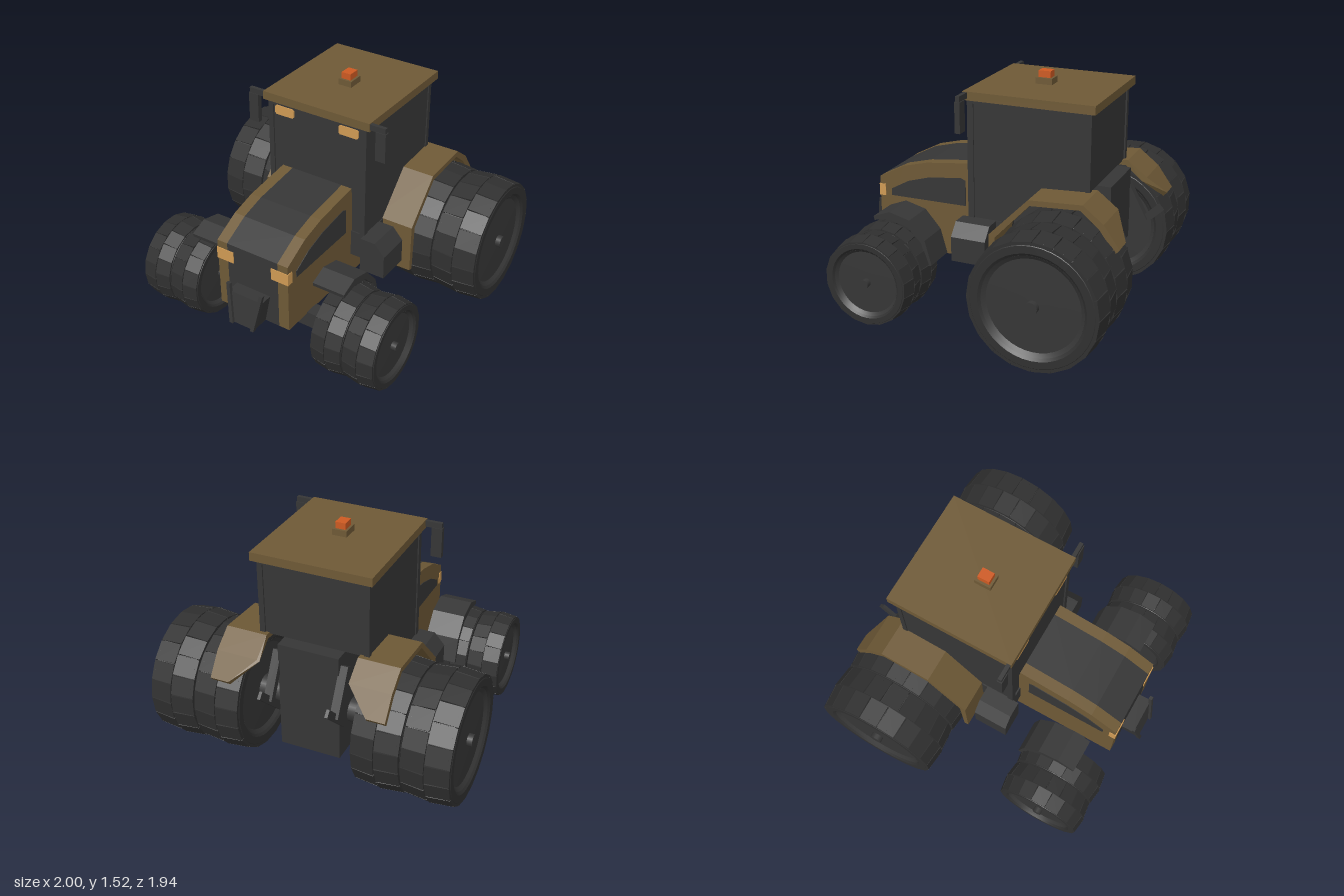
import * as THREE from 'three';
import { mergeGeometries, toCreasedNormals } from 'three/addons/utils/BufferGeometryUtils.js';

const mat = (name, color) => Object.assign(new THREE.MeshStandardMaterial({ color }), { name });
const brown = mat('brown paint', 0x6e5936);
const dark = mat('dark grey', 0x363636);
const rubber = mat('tyre rubber', 0x303030);
const lamp = mat('lamp amber', 0xcf9a54);
const orange = mat('beacon orange', 0xcd5a22);

function add(parent, name, geo, material) {
  const m = new THREE.Mesh(geo, material);
  m.name = name;
  parent.add(m);
  return m;
}

// Box from its low and high limits on each axis
function box(x0, x1, y0, y1, z0, z1) {
  return new THREE.BoxGeometry(Math.abs(x1 - x0), y1 - y0, Math.abs(z1 - z0))
    .translate((x0 + x1) / 2, (y0 + y1) / 2, (z0 + z1) / 2);
}

const shapeOf = (pts) => new THREE.Shape(pts.map(([a, b]) => new THREE.Vector2(a, b)));

// Side profile of [z, y] points, extruded from x0 to x1
function slab(pts, x0, x1) {
  return new THREE.ExtrudeGeometry(shapeOf(pts), { depth: Math.abs(x1 - x0), bevelEnabled: false })
    .rotateY(-Math.PI / 2).translate(Math.max(x0, x1), 0, 0);
}

// Thin bar between two [z, y] points
function bar(a, b, x, w, t) {
  const dz = b[0] - a[0], dy = b[1] - a[1];
  return new THREE.BoxGeometry(w, t, Math.hypot(dz, dy)).rotateX(-Math.atan2(dy, dz))
    .translate(x, (a[1] + b[1]) / 2, (a[0] + b[0]) / 2);
}

// Tyre with two staggered rows of tread blocks, and a dished rim; axis along x
function wheel(R, w, n) {
  const g = new THREE.Group();
  const r = R - 0.014, h = w / 2;
  const lathe = (pts, seg) => toCreasedNormals(
    new THREE.LatheGeometry(pts.map(([a, b]) => new THREE.Vector2(a, b)), seg).rotateZ(-Math.PI / 2), 0.45);
  add(g, 'tyre', lathe([[R * 0.74, -h + 0.02], [R * 0.8, -h], [R * 0.91, -h], [r, -h + 0.02],
    [r, h - 0.02], [R * 0.91, h], [R * 0.8, h], [R * 0.74, h - 0.02]], 40), rubber);
  add(g, 'rim', lathe([[0, -h + 0.025], [R * 0.7, -h + 0.03], [R * 0.76, -h + 0.012],
    [R * 0.76, h - 0.012], [R * 0.7, h - 0.03], [0, h - 0.025]], 40), dark);
  const blocks = [];
  for (const s of [-1, 1]) {
    for (let i = 0; i < n; i++) {
      const a = ((i + (s > 0 ? 0.5 : 0)) / n) * Math.PI * 2;
      const b = new THREE.BoxGeometry(h - 0.006, 0.04, (Math.PI * 2 * R / n) * 0.93);
      const p = b.attributes.position;
      for (let k = 0; k < p.count; k++) {
        // drop the outer shoulder of each block
        if (p.getX(k) * s > 0 && p.getY(k) > 0) p.setY(k, 0.006);
      }
      blocks.push(b.toNonIndexed().translate(s * h / 2, R - 0.022, 0).rotateX(a));
    }
  }
  const tread = mergeGeometries(blocks);
  tread.computeVertexNormals();
  add(g, 'tread', tread, rubber);
  return g;
}

export function createModel() {
  const root = new THREE.Group();
  root.name = 'tractor';
  const body = new THREE.Group();
  body.name = 'body';
  body.position.x = -0.01;
  root.add(body);

  // Hood and chassis: dark centre strip between two brown sides
  const hood = [[0.83, 0.29], [0.83, 0.76], [0.65, 0.855], [0.48, 0.9], [0.14, 0.94],
    [0.1, 0.6], [-0.1, 0.6], [-0.1, 0.29]];
  add(body, 'hoodCentre', slab(hood, -0.186, 0.186), dark);
  const panel = [[0.745, 0.64], [0.745, 0.685], [0.62, 0.755], [0.47, 0.8], [0.24, 0.83],
    [0.205, 0.815], [0.205, 0.645]];
  add(body, 'transmission', box(-0.19, 0.19, 0.3, 0.88, -0.42, -0.1), dark);
  add(body, 'rearHousing', box(-0.2, 0.2, 0.165, 0.89, -0.74, -0.4), dark);

  // Cab
  add(body, 'cab', slab([[0.13, 0.44], [0.13, 1.39], [-0.65, 1.39], [-0.65, 0.89], [-0.35, 0.87],
    [-0.1, 0.62], [-0.1, 0.44]], -0.352, 0.352), dark);
  add(body, 'cabSill', box(-0.36, 0.36, 0.44, 0.62, -0.09, 0.14), dark);
  add(body, 'rearHeader', box(-0.36, 0.36, 1.36, 1.39, -0.66, 0.14), dark);
  add(body, 'roof', box(-0.388, 0.388, 1.385, 1.44, -0.69, 0.155), brown);
  add(body, 'beaconBase', box(-0.048, 0.048, 1.44, 1.48, -0.29, -0.18), brown);
  add(body, 'beacon', box(-0.033, 0.033, 1.48, 1.522, -0.275, -0.195), orange);

  // Axles and front weight bracket
  add(body, 'frontAxle', box(-0.42, 0.42, 0.19, 0.3, 0.54, 0.64), dark);
  add(body, 'rearAxle', new THREE.CylinderGeometry(0.08, 0.08, 1.2, 16).rotateZ(Math.PI / 2)
    .translate(0, 0.415, -0.55), dark);
  const bracket = slab([[0.83, 0.29], [0.95, 0.29], [0.915, 0.49], [0.83, 0.49]], -0.125, 0.125);
  const bp = bracket.attributes.position;
  for (let i = 0; i < bp.count; i++) if (bp.getY(i) < 0.4) bp.setX(i, bp.getX(i) * 0.66);
  bracket.computeVertexNormals();
  add(body, 'frontBracket', bracket, dark);

  const rearFender = [[-0.09, 0.29], [-0.095, 0.62], [-0.35, 0.88], [-0.69, 0.9], [-0.82, 0.8],
    [-0.92, 0.66], [-0.895, 0.63], [-0.79, 0.77], [-0.675, 0.865], [-0.36, 0.845], [-0.135, 0.605], [-0.12, 0.285]];
  const frontFender = [[0.7, 0.585], [0.705, 0.61], [0.59, 0.655], [0.45, 0.62], [0.345, 0.5],
    [0.3, 0.34], [0.325, 0.33], [0.37, 0.48], [0.465, 0.575], [0.59, 0.605]];

  for (const s of [-1, 1]) {
    // Hood sides with dark inset and wrapped headlamp
    add(body, 'hoodSide', slab(hood, s * 0.186, s * 0.26), brown);
    add(body, 'hoodVent', slab(panel, s * 0.259, s * 0.264), dark);
    add(body, 'headlamp', box(s * 0.14, s * 0.264, 0.63, 0.71, 0.79, 0.835), lamp);

    // Cab pillars, work lamp and mirror
    add(body, 'frontPillar', box(s * 0.325, s * 0.36, 0.44, 1.39, 0.1, 0.14), dark);
    add(body, 'rearPillar', box(s * 0.325, s * 0.36, 0.89, 1.39, -0.66, -0.63), dark);
    const lampShape = new THREE.Shape();
    const corners = [[0.175, 1.302], [0.295, 1.302], [0.305, 1.312], [0.305, 1.355], [0.295, 1.365],
      [0.175, 1.365], [0.165, 1.355], [0.165, 1.312]];
    lampShape.setFromPoints(corners.map(([x, y]) => new THREE.Vector2(s * x, y)));
    add(body, 'workLamp', new THREE.ExtrudeGeometry(lampShape, { depth: 0.009, bevelEnabled: false })
      .translate(0, 0, 0.137), lamp);
    add(body, 'mirrorArm', box(s * 0.36, s * 0.495, 1.397, 1.435, 0.125, 0.15), dark);
    add(body, 'mirror', box(s * 0.43, s * 0.5, 1.205, 1.4, 0.12, 0.155), dark);

    // Rear fender, its tail corner cut back on the inside
    const rf = slab(rearFender, s * 0.3, s * 0.57);
    const p = rf.attributes.position;
    for (let i = 0; i < p.count; i++) {
      if (p.getZ(i) < -0.88 && Math.abs(p.getX(i)) < 0.4) p.setX(i, s * 0.45);
    }
    rf.computeVertexNormals();
    add(body, 'rearFender', rf, brown);
    add(body, 'frontFender', slab(frontFender, s * 0.35, s * 0.57), dark);

    // Side tank with sloped shoulder
    const tank = [[0.355, 0.38], [0.53, 0.38], [0.53, 0.54], [0.46, 0.62], [0.355, 0.62]];
    add(body, 'sideTank', new THREE.ExtrudeGeometry(shapeOf(tank.map(([x, y]) => [s * x, y])),
      { depth: 0.23, bevelEnabled: false }).translate(0, 0, -0.05), dark);

    // Front bracket uprights, leaning inward toward the foot
    const arm = slab([[0.94, 0.29], [0.968, 0.29], [0.922, 0.545], [0.9, 0.545]], s * 0.065, s * 0.09);
    const ap = arm.attributes.position;
    for (let i = 0; i < ap.count; i++) if (ap.getY(i) > 0.4) ap.setX(i, ap.getX(i) + s * 0.045);
    arm.computeVertexNormals();
    add(body, 'bracketUpright', arm, dark);

    // Rear hitch
    add(body, 'hitchLink', bar([-0.71, 0.42], [-0.945, 0.645], s * 0.22, 0.02, 0.05), dark);
    add(body, 'hitchLifter', bar([-0.69, 0.82], [-0.84, 0.54], s * 0.22, 0.055, 0.045), dark);

    // Dual wheels and hubs
    const sets = [['rearWheel', 0.415, 0.305, 20, -0.55, [0.525, 0.837]],
      ['frontWheel', 0.29, 0.213, 18, 0.603, [0.54, 0.762]]];
    for (const [name, R, w, n, z, xs] of sets) {
      for (const x of xs) {
        const g = wheel(R, w, n);
        g.name = name;
        g.position.set(s * x, R, z);
        root.add(g);
      }
      const hubR = R * 0.095;
      add(root, name + 'Hub', new THREE.CylinderGeometry(hubR, hubR, xs[1] - xs[0] + w, 16)
        .rotateZ(Math.PI / 2).translate(s * ((xs[0] + xs[1]) / 2 + 0.008), R, z), dark);
    }
  }
  return root;
}
